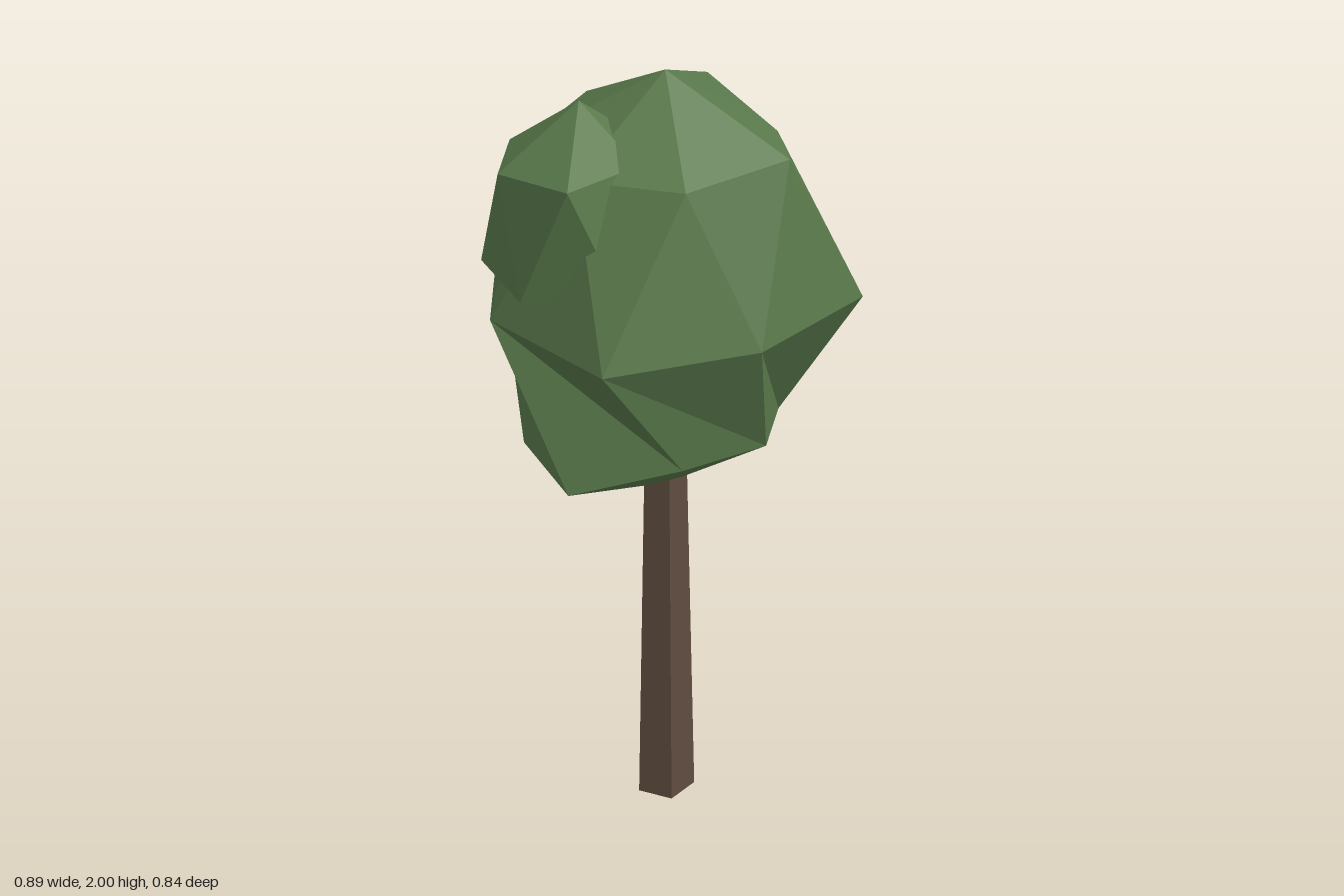
import * as THREE from 'three';

const leafGreen = new THREE.MeshStandardMaterial({ color: 0x5a7a4c, flatShading: true });
const barkBrown = new THREE.MeshStandardMaterial({ color: 0x5f4c40, flatShading: true });

// Ring of points around (cx, cz); each entry is [radius, height]
function ring(cx, cz, entries, shift) {
  return entries.map(([r, y], i) => {
    const a = ((i + shift) / entries.length) * Math.PI * 2;
    return [cx + r * Math.cos(a), y, cz + r * Math.sin(a)];
  });
}

// Faceted foliage: top point, shoulder ring, middle ring, optional low ring, bottom point
function foliage(name, { cx, cz, top, shoulder, middle, low, bottom }) {
  const n = middle.length;
  const up = ring(cx, cz, shoulder, 0.5);
  const mid = ring(cx, cz, middle, 0);
  const down = low && ring(cx, cz, low, 0.5);
  const peak = [cx, top, cz];
  const base = [cx, bottom, cz];
  const points = [];
  const tri = (...corners) => corners.forEach((c) => points.push(...c));

  for (let i = 0; i < n; i++) {
    const j = (i + 1) % n;
    const h = (i + n - 1) % n;
    tri(peak, up[j], up[i]);
    tri(up[i], mid[j], mid[i]);
    tri(mid[j], up[i], up[j]);
    if (down) {
      // The lower band is twisted by one step
      tri(mid[j], down[h], mid[i]);
      tri(mid[j], down[i], down[h]);
      tri(base, down[i], down[j]);
    } else {
      tri(base, mid[i], mid[j]);
    }
  }

  const geometry = new THREE.BufferGeometry();
  geometry.setAttribute('position', new THREE.Float32BufferAttribute(points, 3));
  geometry.computeVertexNormals();
  const mesh = new THREE.Mesh(geometry, leafGreen);
  mesh.name = name;
  return mesh;
}

export function createModel() {
  const tree = new THREE.Group();
  tree.name = 'tree';

  // Five-sided tapered trunk
  const trunk = new THREE.Mesh(
    new THREE.CylinderGeometry(0.056, 0.079, 1, 5, 1, false, Math.PI / 2), barkBrown);
  trunk.name = 'trunk';
  trunk.position.set(-0.024, 0.5, -0.035);
  tree.add(trunk);

  // Main crown
  tree.add(foliage('crown', {
    cx: -0.02, cz: -0.04, top: 2, bottom: 0.92,
    shoulder: [[0.32, 1.85], [0.306, 1.83], [0.29, 1.82], [0.31, 1.83], [0.334, 1.84], [0.338, 1.87], [0.28, 1.81]],
    middle: [[0.465, 1.45], [0.387, 1.45], [0.467, 1.45], [0.434, 1.45], [0.476, 1.45], [0.39, 1.45], [0.395, 1.45]],
    low: [[0.277, 1.105], [0.27, 1.11], [0.337, 1.03], [0.35, 1.02], [0.33, 1.03], [0.323, 1.04], [0.3, 1.07]],
  }));

  // Small clump on the right shoulder
  tree.add(foliage('sideClump', {
    cx: -0.205, cz: 0.06, top: 1.96, bottom: 1.48,
    shoulder: [[0.16, 1.84], [0.25, 1.845], [0.2, 1.82], [0.2, 1.82], [0.18, 1.84], [0.16, 1.84]],
    middle: [[0.2, 1.56], [0.21, 1.56], [0.235, 1.555], [0.235, 1.56], [0.2, 1.56], [0.2, 1.56]],
  }));

  return tree;
}
